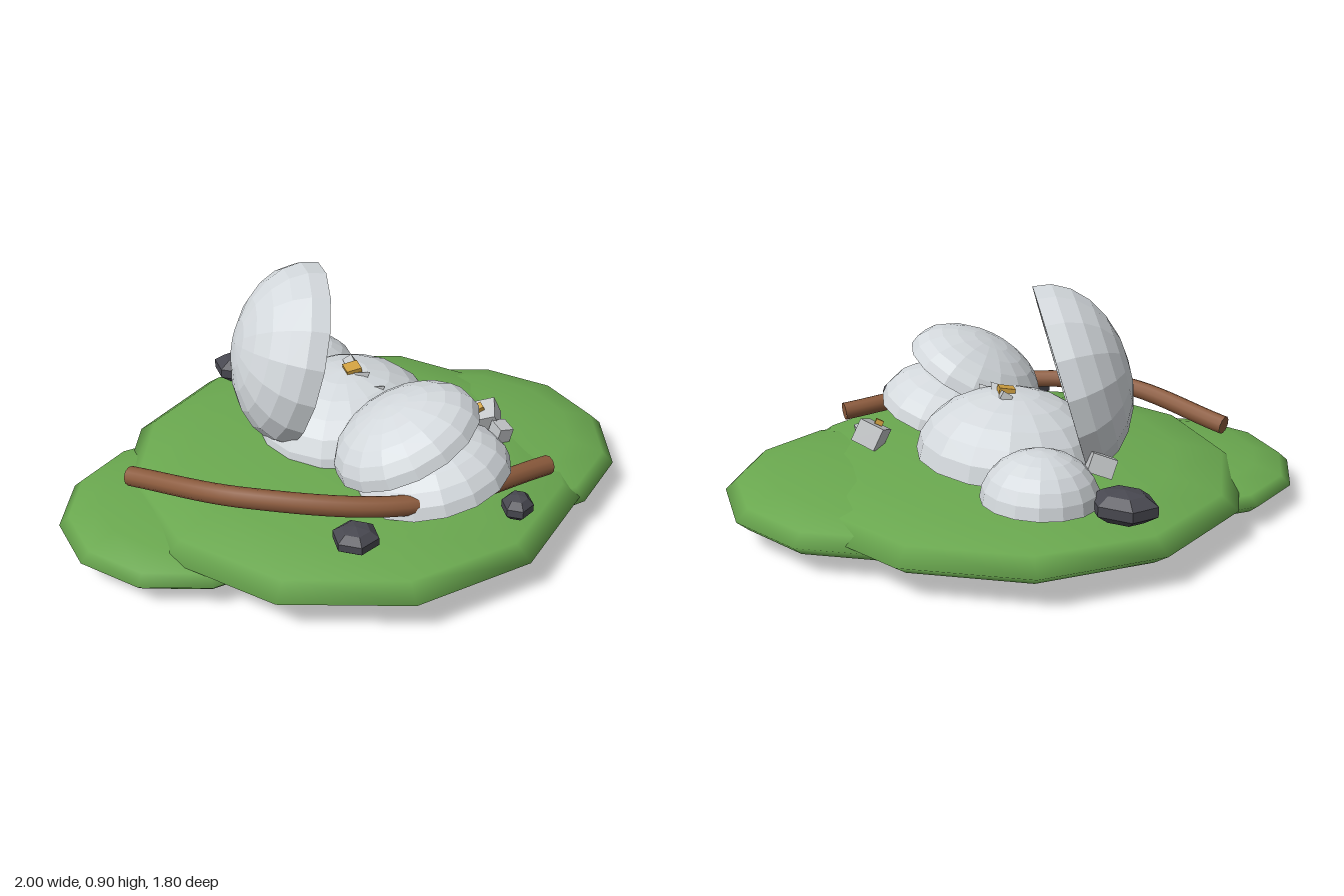
import * as THREE from 'three';

export function createModel() {
  const model = new THREE.Group();
  const material = (name, color, flatShading = true) =>
    Object.assign(new THREE.MeshStandardMaterial({ color, flatShading }), { name });
  const grass = material('grass green', 0x6aa84f, false);
  const shell = material('shell grey', 0xd3d8dc);
  const chip = material('fragment grey', 0xc2c5c7);
  const stone = material('stone charcoal', 0x484850);
  const bark = material('bark brown', 0x8b5a3c, false);
  const gold = material('gold', 0xd0a040);

  function add(name, geometry, mat, position) {
    const mesh = new THREE.Mesh(geometry, mat);
    mesh.name = name;
    mesh.position.set(...position);
    model.add(mesh);
    return mesh;
  }

  // Overlapping flattened mounds of grass
  const mounds = [
    ['mainMound', [0, 0.14, 0], 0.9, 0.13],
    ['backMound', [0.4, 0.125, -0.3], 0.6, 0.11],
    ['frontMound', [-0.5, 0.1, 0.4], 0.5, 0.088],
  ];
  for (const [name, position, radius, height] of mounds) {
    const mound = add(name, new THREE.SphereGeometry(1, 12, 8), grass, position);
    mound.scale.set(radius, height, radius);
  }

  // Hollow half shell, its rim centred on the origin and open downwards
  function shellGeometry(radius, height, wall) {
    const profile = [];
    const steps = 6;
    for (let i = 0; i <= steps; i++) {
      const a = (i / steps) * Math.PI / 2;
      profile.push(new THREE.Vector2((radius - wall) * Math.sin(a), (height - wall) * Math.cos(a)));
    }
    for (let i = steps; i >= 0; i--) {
      const a = (i / steps) * Math.PI / 2;
      profile.push(new THREE.Vector2(radius * Math.sin(a), height * Math.cos(a)));
    }
    return new THREE.LatheGeometry(profile, 16);
  }

  // Broken shells: rim centre, radius, height, wall, opening direction
  const shells = [
    ['mainShell', [-0.04, 0.25, -0.1], 0.36, 0.25, 0.03, [0.05, -1, -0.05]],
    ['raisedShell', [-0.22, 0.56, -0.06], 0.36, 0.26, 0.045, [0.84, -0.28, -0.46]],
    ['backShell', [-0.31, 0.255, -0.44], 0.21, 0.175, 0.02, [0, -1, -0.06]],
    ['lowerFrontShell', [0.37, 0.27, 0.2], 0.295, 0.18, 0.03, [0.22, -0.97, -0.02]],
    ['upperFrontShell', [0.28, 0.43, 0.235], 0.285, 0.16, 0.035, [0.42, -0.9, -0.12]],
  ];
  const down = new THREE.Vector3(0, -1, 0);
  for (const [name, position, radius, height, wall, opening] of shells) {
    const mesh = add(name, shellGeometry(radius, height, wall), shell, position);
    mesh.quaternion.setFromUnitVectors(down, new THREE.Vector3(...opening).normalize());
  }

  // Curved branch with closed ends
  const path = new THREE.CatmullRomCurve3([
    new THREE.Vector3(-0.7, 0.265, 0.5),
    new THREE.Vector3(-0.2, 0.335, 0.61),
    new THREE.Vector3(0.35, 0.31, 0.46),
    new THREE.Vector3(0.77, 0.262, 0.0),
  ]);
  add('branch', new THREE.TubeGeometry(path, 32, 0.037, 10), bark, [0, 0, 0]);
  for (const t of [0, 1]) {
    const end = add('branchEnd', new THREE.CircleGeometry(0.037, 10), bark, path.getPoint(t).toArray());
    const outward = path.getTangent(t).multiplyScalar(t ? 1 : -1);
    end.quaternion.setFromUnitVectors(new THREE.Vector3(0, 0, 1), outward);
  }

  // Dark stones
  const stones = [
    [[-0.6, 0.27, -0.4], [0.13, 0.06, 0.1]],
    [[0.2, 0.265, 0.635], [0.087, 0.045, 0.087]],
    [[0.7, 0.265, 0.297], [0.06, 0.046, 0.07]],
  ];
  for (const [position, size] of stones) {
    add('stone', new THREE.SphereGeometry(1, 6, 5), stone, position).scale.set(...size);
  }

  // Scattered fragments: position, size, rotation
  const fragments = [
    [[0.49, 0.29, -0.24], [0.1, 0.09, 0.1], [0.35, 0.2, 0.3]],
    [[0.56, 0.265, -0.18], [0.06, 0.07, 0.07], [0.2, 0.7, -0.3]],
    [[-0.47, 0.35, -0.28], [0.09, 0.07, 0.08], [0.3, 0.5, 0.2]],
    [[-0.04, 0.495, -0.15], [0.04, 0.03, 0.06], [0.3, 0.6, 0.4]],
  ];
  for (const [position, size, rotation] of fragments) {
    add('fragment', new THREE.BoxGeometry(...size), chip, position).rotation.set(...rotation);
  }
  for (const position of [[0.1, 0.46, -0.04], [0.03, 0.49, -0.08]]) {
    const shard = add('shard', new THREE.TetrahedronGeometry(0.04), chip, position);
    shard.rotation.set(0.4, 0.9, 0.2);
  }

  // Gold pieces
  add('goldPiece', new THREE.BoxGeometry(0.06, 0.03, 0.06), gold, [-0.02, 0.5, -0.1]).rotation.set(0.1, 0.6, 0.1);
  add('goldChip', new THREE.BoxGeometry(0.03, 0.02, 0.03), gold, [0.465, 0.338, -0.22]).rotation.set(0.3, 0.6, 0.3);

  return model;
}
